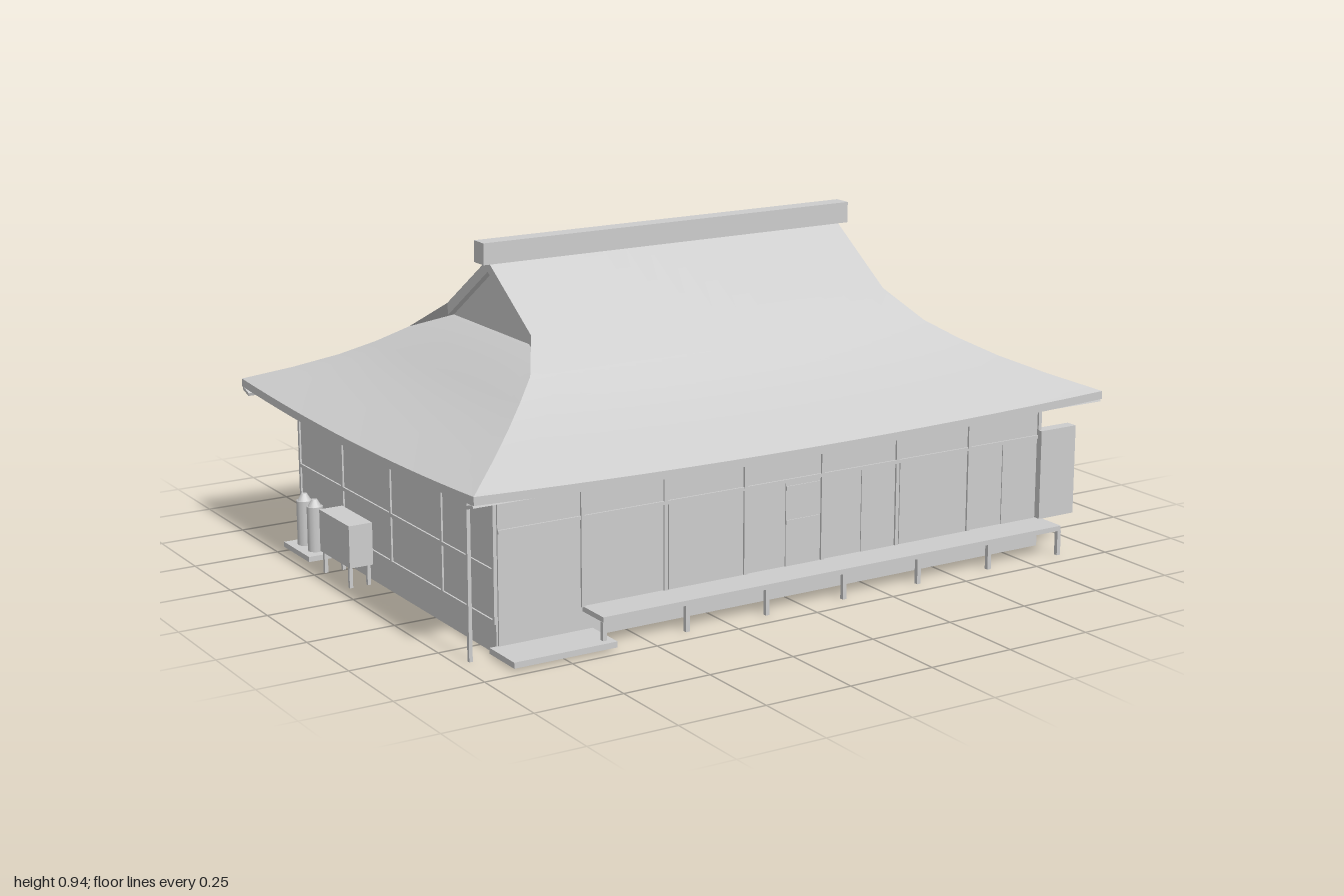
import * as THREE from 'three';

export function createModel() {
  const model = new THREE.Group();
  model.name = 'farmhouse';
  const grey = new THREE.MeshStandardMaterial({ color: 0xcccccc, side: THREE.DoubleSide });
  grey.name = 'plain grey';

  const add = (name, geometry, parent = model) => {
    const mesh = new THREE.Mesh(geometry, grey);
    mesh.name = name;
    parent.add(mesh);
    return mesh;
  };
  // Box given by its lower and upper limits on each axis
  const box = (name, x0, x1, y0, y1, z0, z1, parent = model) => {
    const mesh = add(name, new THREE.BoxGeometry(x1 - x0, y1 - y0, z1 - z0), parent);
    mesh.position.set((x0 + x1) / 2, (y0 + y1) / 2, (z0 + z1) / 2);
    return mesh;
  };
  const group = (name) => {
    const g = new THREE.Group();
    g.name = name;
    model.add(g);
    return g;
  };

  // Roof surface lofted through rows of [distance out, height, half width]; eaves sag mid-span
  const COLS = 16;
  const loft = (rows) => {
    const pos = [], idx = [];
    rows.forEach(([d, y, half, flat], r) => {
      for (let c = 0; c <= COLS; c++) {
        const u = (c / COLS) * 2 - 1;
        const sag = flat ? 0 : 0.02 * (1 - u * u) * THREE.MathUtils.clamp(1 - (y - 0.465) / 0.18, 0, 1);
        pos.push(u * half, y - sag, d);
        if (r && c) {
          const b = r * (COLS + 1) + c, a = b - COLS - 1;
          idx.push(a - 1, a, b, a - 1, b, b - 1);
        }
      }
    });
    const g = new THREE.BufferGeometry();
    g.setAttribute('position', new THREE.Float32BufferAttribute(pos, 3));
    g.setIndex(idx);
    g.computeVertexNormals();
    return g;
  };

  // Hipped skirt shared by all four sides: [inset from eave, height]
  const skirt = [[0, 0.465], [0.11, 0.508], [0.21, 0.553], [0.29, 0.598], [0.36, 0.645]];
  const W = 1, D = 0.71, WX = 0.875, WZ = 0.59;
  const roof = group('roof');
  for (let i = 0; i < 4; i++) {
    const end = i % 2 === 1;
    const [out, half, wallOut, wallHalf] = end ? [W, D, WX, WZ] : [D, W, WZ, WX];
    const rows = skirt.map(([t, y]) => [out - t, y, half - t]);
    if (end) rows.push([0.555, 0.69, 0.24]);
    else rows.push([0.24, 0.725, 0.575], [0, 0.888, 0.575]);
    const side = new THREE.Group();
    side.name = end ? 'endRoof' : 'mainRoof';
    side.rotation.y = (i * Math.PI) / 2;
    roof.add(side);
    add('roofSlope', loft(rows), side);
    add('eaveEdge', loft([[out, 0.442, half], [out, 0.465, half]]), side);
    add('soffit', loft([[wallOut, 0.43, wallHalf, true], [out, 0.442, half]]), side);

    if (!end) {
      const board = box('eaveBoard', -1, 1, 0.428, 0.437, 0.665, 0.705, side);
      board.rotation.x = -0.3;
    } else {
      // Recessed gable with its bargeboards
      const tri = new THREE.Shape([[-0.24, 0.69], [0.24, 0.69], [0, 0.855]].map((p) => new THREE.Vector2(...p)));
      add('gablePanel', new THREE.ShapeGeometry(tri), side).position.z = 0.555;
      const barge = new THREE.Shape([[-0.24, 0.725], [-0.24, 0.69], [0, 0.855], [0.24, 0.69], [0.24, 0.725], [0, 0.888]]
        .map((p) => new THREE.Vector2(...p)));
      add('bargeboards', new THREE.ExtrudeGeometry(barge, { depth: 0.018, bevelEnabled: false }), side).position.z = 0.556;
    }
  }
  box('ridgeCap', -0.6, 0.6, 0.88, 0.94, -0.027, 0.027, roof);

  // Thin walls, open below, with a raised floor
  const walls = group('walls');
  for (const s of [-1, 1]) {
    box('longWall', -WX, WX, 0, 0.432, s * WZ - 0.005, s * WZ + 0.005, walls);
    box('endWall', s * WX - 0.005, s * WX + 0.005, 0, 0.432, -WZ, WZ, walls);
  }
  box('floor', -WX, WX, 0.075, 0.085, -WZ, WZ, walls);

  // Timber frame on the end walls
  const frame = group('timberFrame');
  for (const s of [-1, 1]) {
    const x = s * (WX + 0.006);
    for (const y of [0.085, 0.22, 0.4]) box('endRail', x - 0.004, x + 0.004, y - 0.005, y + 0.005, -WZ, WZ, frame);
    for (const z of [-0.585, -0.3, 0, 0.3, 0.585]) box('endPost', x - 0.004, x + 0.004, 0.085, 0.43, z - 0.005, z + 0.005, frame);
  }
  // Timber frame on the back wall
  const zb = -WZ - 0.006;
  for (const y of [0.085, 0.22, 0.4]) box('backRail', -WX, WX, y - 0.004, y + 0.004, zb - 0.004, zb + 0.004, frame);
  for (const x of [-0.87, -0.63, -0.17, 0.57, 0.87]) box('backPost', x - 0.005, x + 0.005, 0.085, 0.43, zb - 0.004, zb + 0.004, frame);

  // Framed back windows
  for (const [x0, x1, y0, y1] of [[0.42, 0.56, 0.24, 0.35], [-0.59, -0.4, 0.21, 0.34]]) {
    const t = 0.012, z0 = -WZ - 0.018, z1 = -WZ;
    const win = group('backWindow');
    box('pane', x0, x1, y0, y1, -WZ - 0.011, z1, win);
    box('sill', x0, x1, y0, y0 + t, z0, z1, win);
    box('head', x0, x1, y1 - t, y1, z0, z1, win);
    box('jamb', x0, x0 + t, y0, y1, z0, z1, win);
    box('jamb', x1 - t, x1, y0, y1, z0, z1, win);
  }

  // Sliding doors along the front
  const front = group('frontDoors');
  const zf = WZ + 0.004;
  for (const y of [0.325, 0.41]) box('lintel', -WX, WX, y - 0.005, y + 0.005, zf, zf + 0.006, front);
  for (const x of [-0.63, -0.38, -0.13, 0.12, 0.37, 0.62, 0.87]) {
    box('doorPost', x - 0.005, x + 0.005, 0.085, 0.43, zf, zf + 0.007, front);
  }
  for (const [x0, x1] of [[-0.37, -0.14], [0, 0.11], [0.25, 0.36], [0.38, 0.61], [0.74, 0.86]]) {
    box('slidingDoor', x0, x1, 0.085, 0.32, zf, zf + 0.004, front);
  }
  for (const y of [0.21, 0.305]) box('doorRail', 0, 0.11, y - 0.006, y + 0.006, zf, zf + 0.007, front);

  // Veranda, step and shutter box
  const veranda = group('veranda');
  box('deck', -0.63, 0.875, 0.072, 0.086, WZ, 0.7, veranda);
  for (const x of [-0.625, -0.375, -0.125, 0.125, 0.375, 0.62, 0.87]) {
    box('deckLeg', x - 0.006, x + 0.006, 0, 0.072, 0.688, 0.7, veranda);
  }
  box('step', -0.9, -0.6, 0.006, 0.022, WZ, 0.72, veranda);
  box('shutterBox', 0.865, 0.99, 0.085, 0.345, 0.58, 0.615, veranda);
  box('cornerPost', -0.966, -0.956, 0, 0.435, 0.595, 0.605, veranda);

  // Stove pipe with a five-sided cap
  const pipe = group('stovePipe');
  pipe.position.set(0.725, 0, -0.637);
  add('pipe', new THREE.CylinderGeometry(0.009, 0.009, 0.68, 8), pipe).position.y = 0.365;
  add('pipeCap', new THREE.ConeGeometry(0.028, 0.02, 5).toNonIndexed(), pipe).position.y = 0.712;

  // Outdoor unit on legs and gas cylinders on a slab
  const yard = group('utilities');
  box('outdoorUnit', -0.97, -0.9, 0.06, 0.18, -0.27, -0.08, yard);
  for (const x of [-0.962, -0.908]) for (const z of [-0.255, -0.095]) {
    box('unitLeg', x - 0.005, x + 0.005, 0, 0.06, z - 0.005, z + 0.005, yard);
  }
  box('slab', -0.97, -0.88, 0.005, 0.02, -0.52, -0.35, yard);
  for (const z of [-0.47, -0.4]) {
    add('gasCylinder', new THREE.CylinderGeometry(0.023, 0.023, 0.13, 12), yard).position.set(-0.925, 0.085, z);
    add('cylinderValve', new THREE.CylinderGeometry(0.008, 0.02, 0.02, 12), yard).position.set(-0.925, 0.16, z);
  }
  return model;
}
